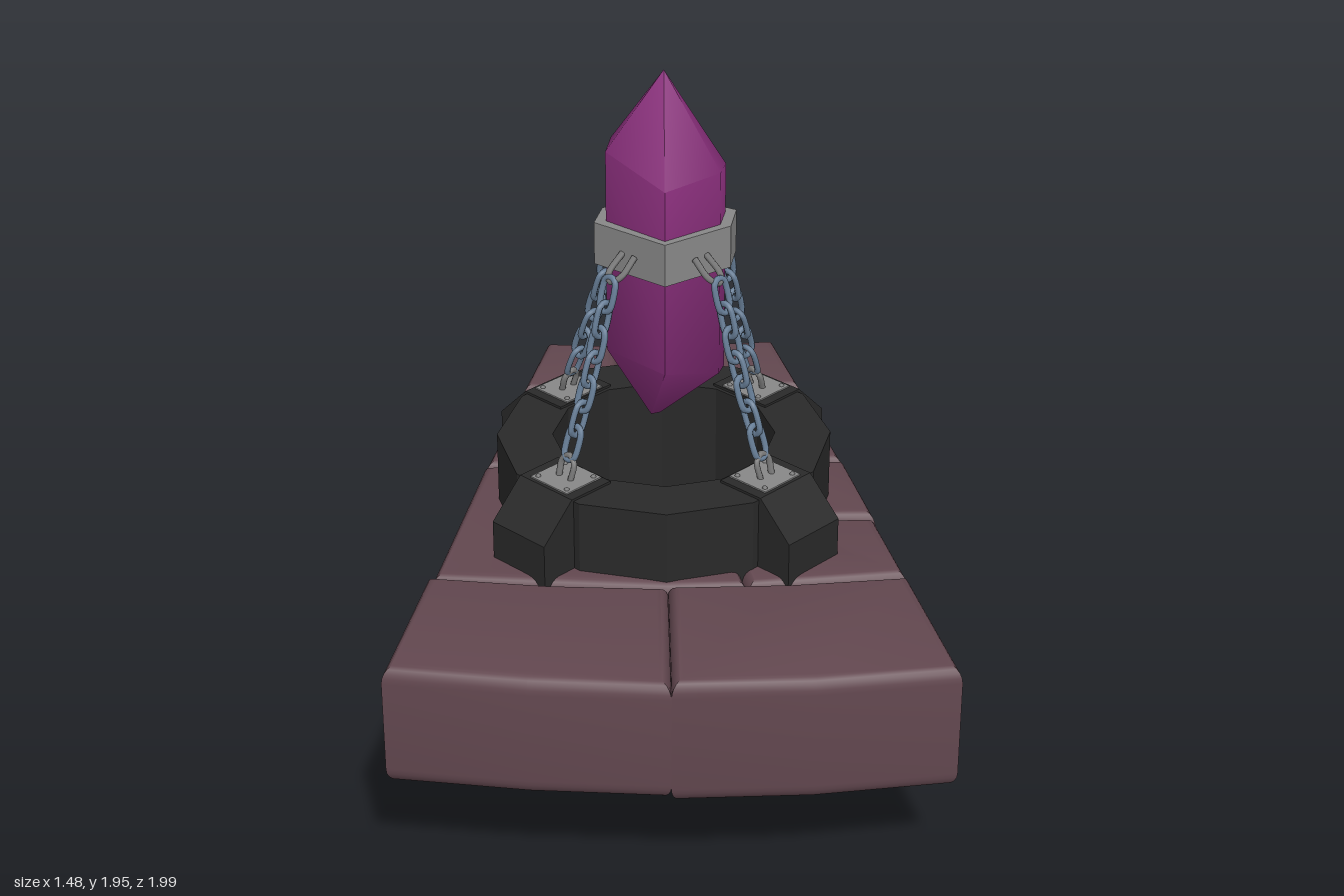
import * as THREE from 'three';
import { toCreasedNormals } from 'three/addons/utils/BufferGeometryUtils.js';
import { ConvexGeometry } from 'three/addons/geometries/ConvexGeometry.js';

const mat = (color, flatShading = false) => new THREE.MeshStandardMaterial({ color, flatShading });
const stoneMat = mat(0x62474f), ironMat = mat(0x292929, true), steelMat = mat(0x888888, true);
const boltMat = mat(0x777777), chainMat = mat(0x687f98), crystalMat = mat(0x8a2f7c);
stoneMat.side = THREE.DoubleSide; // stones are open below
const V = (x, y, z) => new THREE.Vector3(x, y, z);
const CX = -0.01, CZ = 0.01; // centre of the well

function add(parent, name, geometry, material) {
  const mesh = new THREE.Mesh(geometry, material);
  mesh.name = name;
  parent.add(mesh);
  return mesh;
}

// Points [x, z] round the well, angles in degrees
function arc(from, to, r = 0.36) {
  const n = Math.max(2, Math.round(Math.abs(to - from) / 15));
  return Array.from({ length: n + 1 }, (_, i) => {
    const a = THREE.MathUtils.degToRad(from + (to - from) * i / n);
    return [CX + r * Math.cos(a), CZ + r * Math.sin(a)];
  });
}

const planShape = pts => new THREE.Shape(pts.map(([x, z]) => new THREE.Vector2(x, -z)));

// Soft-edged stone with an open underside
function stoneGeometry(outline, y0, y1, tilt) {
  const bevel = 0.045;
  const geo = new THREE.ExtrudeGeometry(planShape(outline), {
    depth: y1 - y0 - 2 * bevel, bevelSize: 0.032, bevelOffset: -0.029,
    bevelThickness: bevel, bevelSegments: 5,
  }).rotateX(-Math.PI / 2).translate(0, y0 + bevel, 0);
  const p = geo.attributes.position, kept = [];
  for (let i = 0; i < p.count; i += 3) {
    const low = [0, 1, 2].every(k => p.getY(i + k) < y0 + 0.001);
    if (low) continue;
    for (let k = 0; k < 3; k++) {
      const x = p.getX(i + k);
      kept.push(x, p.getY(i + k) + tilt * x, p.getZ(i + k));
    }
  }
  const open = new THREE.BufferGeometry();
  open.setAttribute('position', new THREE.Float32BufferAttribute(kept, 3));
  return toCreasedNormals(open, 0.75);
}

// Bent rod: two legs at base, rounded tip
function stapleGeometry(base, tip, side) {
  const near = base.clone().lerp(tip, 0.75);
  const curve = new THREE.CatmullRomCurve3([
    base.clone().add(side), near.clone().add(side), tip, near.clone().sub(side), base.clone().sub(side),
  ]);
  return new THREE.TubeGeometry(curve, 20, 0.009, 6);
}

// One oval chain link, long axis on y
function linkGeometry() {
  const w = 0.021, h = 0.027, pts = [];
  for (let i = 0; i < 12; i++) {
    const a = (i + 0.5) / 12 * Math.PI * 2;
    pts.push(V(Math.cos(a) * w, Math.sin(a) * w + Math.sign(Math.sin(a)) * h, 0));
  }
  return new THREE.TubeGeometry(new THREE.CatmullRomCurve3(pts, true), 24, 0.009, 6, true);
}

export function createModel() {
  const model = new THREE.Group();
  model.name = 'chainedCrystalWell';

  // Paving stones: outline, bottom, top, sideways tilt
  const paving = new THREE.Group();
  paving.name = 'pavingStones';
  model.add(paving);
  const stones = [
    [[[-0.362, -0.997], [-0.14, -0.975], [-0.15, -0.655], [-0.425, -0.69]], 0.32, 0.665, 0],
    [[[-0.135, -0.967], [0.115, -0.972], [0.135, -0.65], [-0.145, -0.65]], 0.32, 0.655, 0],
    [[[0.12, -0.972], [0.35, -0.995], [0.415, -0.685], [0.14, -0.655]], 0.32, 0.67, 0],
    [[[-0.42, -0.68], [-0.009, -0.645], ...arc(-90.5, -144), [-0.52, -0.2]], 0.32, 0.66, 0],
    [[[-0.004, -0.645], [0.41, -0.675], [0.51, -0.21], ...arc(-37, -89.5)], 0.32, 0.66, 0.01],
    [[[-0.525, -0.195], ...arc(-145, -300), [0.205, 0.485], [-0.01, 0.495], [-0.637, 0.435]], 0.33, 0.66, 0],
    [[[0.515, -0.205], [0.577, 0.122], ...arc(18, -36)], 0.33, 0.665, 0],
    [[[0.21, 0.485], ...arc(59, 19), [0.575, 0.128], [0.635, 0.435]], 0.33, 0.66, 0],
    [[[-0.65, 0.445], [-0.33, 0.485], [-0.009, 0.5], [-0.009, 0.988], [-0.37, 0.965], [-0.737, 0.912]], 0.315, 0.665, -0.012],
    [[[0.64, 0.445], [0.32, 0.485], [-0.004, 0.5], [-0.004, 0.988], [0.36, 0.97], [0.732, 0.912]], 0.305, 0.67, -0.015],
  ];
  for (const s of stones) add(paving, 'pavingStone', stoneGeometry(...s), stoneMat);

  // Shaft and raised rim, both twelve-sided
  const lathe = pts => new THREE.LatheGeometry(pts.map(p => new THREE.Vector2(...p)), 12).translate(CX, 0, CZ);
  add(model, 'shaft', lathe([[0.31, 0], [0.32, 0], [0.32, 0.65], [0.31, 0.65], [0.31, 0]]), ironMat);
  add(model, 'rim', lathe([[0.31, 0.6], [0.465, 0.6], [0.465, 0.865], [0.31, 0.865], [0.31, 0.6]]), ironMat);

  // Crystal: six uneven edges with a point at each end
  const girth = [[0, -0.11], [0.157, -0.02], [0.14, 0.07], [-0.01, 0.18], [-0.165, 0.04], [-0.15, -0.04]];
  const shoulders = [1.7, 1.66, 1.67, 1.66, 1.72, 1.73];
  const hips = [1.08, 1.06, 1.08, 1.13, 1.14, 1.13];
  const crystalPts = [V(-0.01, 1.945, 0.03), V(-0.045, 0.925, 0.01), V(-0.02, 0.925, 0)];
  girth.forEach(([x, z], i) => crystalPts.push(V(x, shoulders[i], z), V(x, hips[i], z)));
  add(model, 'crystal', toCreasedNormals(new ConvexGeometry(crystalPts), 1.15), crystalMat);

  // Steel band round the crystal
  const bandOuter = [[0, -0.145], [0.187, -0.03], [0.168, 0.08], [-0.01, 0.205], [-0.197, 0.05], [-0.175, -0.05]];
  const bandShape = planShape(bandOuter);
  bandShape.holes.push(planShape(girth));
  add(model, 'crystalBand', new THREE.ExtrudeGeometry(bandShape, { depth: 0.12, bevelEnabled: false })
    .rotateX(-Math.PI / 2).translate(0, 1.402, 0), steelMat);

  // Corner anchors and their chains
  const blockShape = new THREE.Shape([[0.31, 0.6], [0.56, 0.6], [0.56, 0.77], [0.455, 0.872], [0.31, 0.872]]
    .map(p => new THREE.Vector2(...p)));
  const blockGeo = new THREE.ExtrudeGeometry(blockShape, { depth: 0.2, bevelEnabled: false }).translate(0, 0, -0.1);
  const linkGeo = linkGeometry();
  const corners = [[1, 1, 0.085, 0.14], [1, -1, 0.1, -0.083], [-1, 1, -0.105, 0.126], [-1, -1, -0.09, -0.097]];
  for (const [sx, sz, bx, bz] of corners) {
    const anchor = new THREE.Group();
    anchor.name = 'cornerAnchor';
    anchor.position.set(CX, 0, CZ);
    anchor.rotation.y = -Math.atan2(sz, sx);
    model.add(anchor);
    add(anchor, 'anchorBlock', blockGeo, ironMat);
    add(anchor, 'anchorPlate', new THREE.BoxGeometry(0.13, 0.01, 0.14), steelMat).position.set(0.38, 0.871, 0);
    for (const i of [-1, 1]) for (const j of [-1, 1]) {
      add(anchor, 'rivet', new THREE.SphereGeometry(0.008, 8, 6), boltMat)
        .position.set(0.38 + i * 0.05, 0.875, j * 0.055);
    }

    const out = V(sx, 0, sz).normalize();
    const side = V(-sz, 0, sx).normalize().multiplyScalar(0.022);
    const bandBase = V(bx, 1.46, bz);
    const top = bandBase.clone().addScaledVector(out, 0.07).setY(1.405);
    const plateBase = V(CX, 0.872, CZ).addScaledVector(out, 0.385);
    const bottom = plateBase.clone().addScaledVector(out, -0.02).setY(0.935);
    add(model, 'bandStaple', stapleGeometry(bandBase, top, side), boltMat);
    add(model, 'plateStaple', stapleGeometry(plateBase, bottom, side), boltMat);

    // Chain with a faint sag, overlapping the staples at both ends
    const mid = top.clone().lerp(bottom, 0.5).addScaledVector(out, -0.006);
    mid.y -= 0.006;
    const path = new THREE.CatmullRomCurve3([top, mid, bottom]);
    const chain = new THREE.Group();
    chain.name = 'chain';
    model.add(chain);
    const count = 7;
    for (let i = 0; i < count; i++) {
      const u = (i + 0.5) / count;
      const link = add(chain, 'chainLink', linkGeo, chainMat);
      link.position.copy(path.getPointAt(u));
      link.quaternion.setFromUnitVectors(V(0, 1, 0), path.getTangentAt(u).negate());
      link.rotateY((i % 2) * Math.PI / 2 + sx * sz * Math.PI / 4);
    }
  }
  return model;
}
